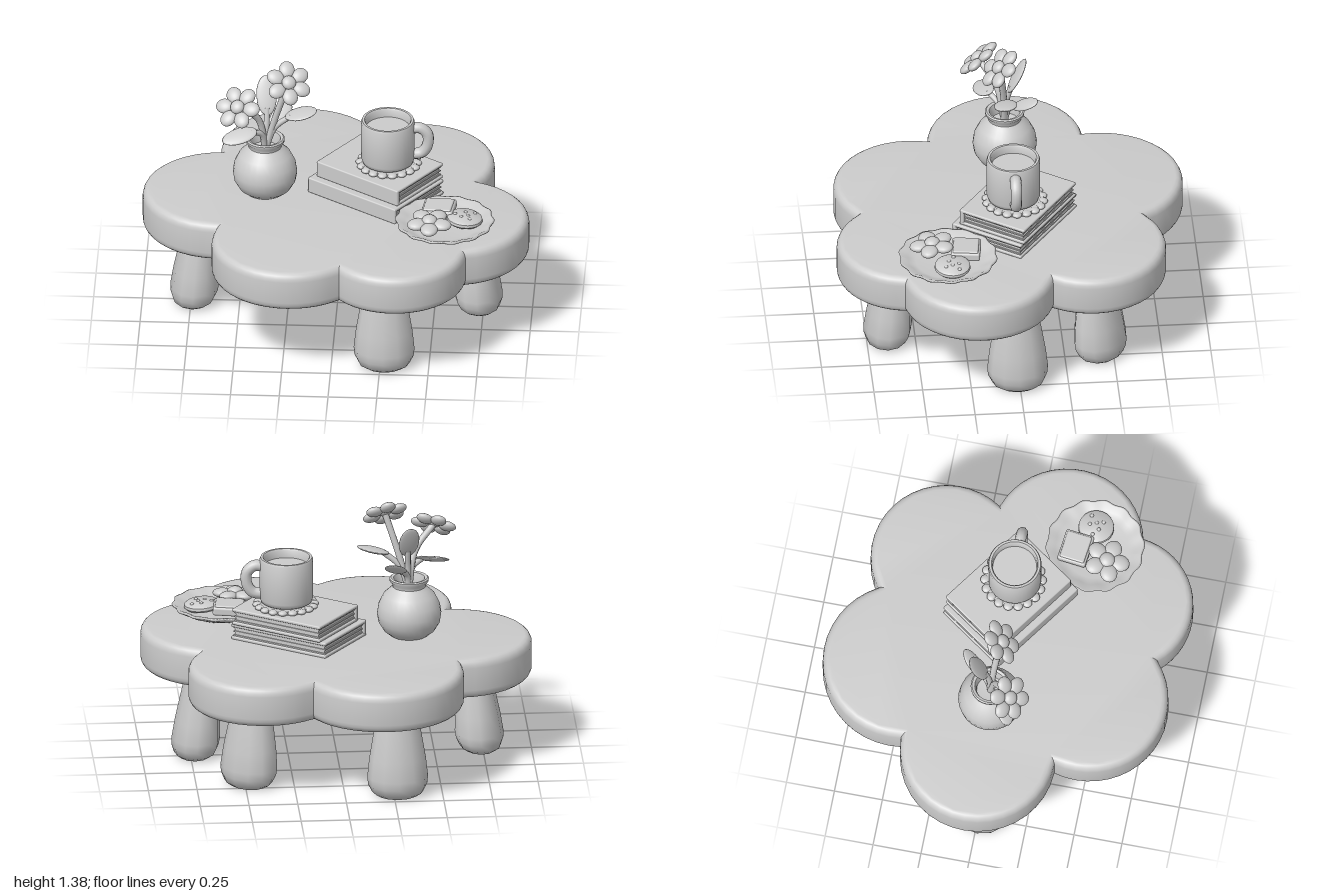
import * as THREE from 'three';
import { toCreasedNormals } from 'three/addons/utils/BufferGeometryUtils.js';
import { RoundedBoxGeometry } from 'three/addons/geometries/RoundedBoxGeometry.js';

const V = (x, y, z) => new THREE.Vector3(x, y, z);

export function createModel() {
  const model = new THREE.Group();
  const mat = new THREE.MeshStandardMaterial({ color: 0xcccccc });
  const thinMat = new THREE.MeshStandardMaterial({ color: 0xcccccc, side: THREE.DoubleSide });

  const group = (name, x = 0, y = 0, z = 0, parent = model) => {
    const g = new THREE.Group();
    g.name = name;
    g.position.set(x, y, z);
    parent.add(g);
    return g;
  };
  const add = (parent, name, geo, x = 0, y = 0, z = 0, material = mat) => {
    const m = new THREE.Mesh(geo, material);
    m.name = name;
    m.position.set(x, y, z);
    parent.add(m);
    return m;
  };
  const lathe = (pts, segs) =>
    toCreasedNormals(new THREE.LatheGeometry(pts.map(p => new THREE.Vector2(...p)), segs), 0.75);
  const tube = (pts, r, segs = 16) =>
    new THREE.TubeGeometry(new THREE.CatmullRomCurve3(pts), segs, r, 10);
  const blob = (rx, ry, rz) => new THREE.SphereGeometry(1, 18, 12).scale(rx, ry, rz);

  // Table top: outline of six overlapping circles (x, -z, radius)
  const lobes = [[0.6, -0.2, 0.393], [0.4, 0.39, 0.387], [-0.2, 0.49, 0.42],
    [-0.6, 0.03, 0.4], [-0.22, -0.48, 0.402], [0.32, -0.54, 0.367]];
  const notch = (a, b) => { // outer crossing of two neighbouring circles
    const dx = b[0] - a[0], dy = b[1] - a[1], d = Math.hypot(dx, dy);
    const t = (a[2] ** 2 - b[2] ** 2 + d * d) / (2 * d);
    const h = Math.sqrt(a[2] ** 2 - t * t);
    return [a[0] + (dx * t + dy * h) / d, a[1] + (dy * t - dx * h) / d];
  };
  const outline = [];
  lobes.forEach((c, i) => {
    const p = notch(lobes[(i + 5) % 6], c), q = notch(c, lobes[(i + 1) % 6]);
    const a0 = Math.atan2(p[1] - c[1], p[0] - c[0]);
    let a1 = Math.atan2(q[1] - c[1], q[0] - c[0]);
    if (a1 < a0) a1 += Math.PI * 2;
    for (let k = 0; k < 18; k++) {
      const a = a0 + (a1 - a0) * k / 18;
      outline.push(new THREE.Vector2(c[0] + c[2] * Math.cos(a), c[1] + c[2] * Math.sin(a)));
    }
  });
  const top = new THREE.ExtrudeGeometry(new THREE.Shape(outline), {
    depth: 0.12, bevelEnabled: true, bevelThickness: 0.045, bevelSize: 0.035,
    bevelOffset: -0.035, bevelSegments: 4,
  }).rotateX(-Math.PI / 2);
  add(model, 'tableTop', toCreasedNormals(top, 0.6), 0, 0.475, 0);

  // Five oval legs leaning slightly outwards: x, z, facing angle
  const legs = [[0.27, 0.65, Math.PI / 2], [0.73, 0.01, 0], [0.485, -0.44, -0.85],
    [-0.27, -0.645, -Math.PI / 2], [-0.74, 0.01, Math.PI]];
  for (const [x, z, angle] of legs) {
    const g = lathe([[0, 0], [0.1, 0], [0.132, 0.02], [0.152, 0.06], [0.156, 0.1], [0.145, 0.2],
      [0.123, 0.33], [0.1, 0.45]], 12).scale(0.8, 1, 1);
    const p = g.attributes.position;
    for (let i = 0; i < p.count; i++) p.setX(i, p.getX(i) - 0.08 * p.getY(i));
    add(model, 'leg', g, x, 0, z).rotation.y = -angle;
  }

  // Books: two covers, a spine along the front-left edge and an inset page block
  const book = (name, x, y, z, w, d, h, angle) => {
    const b = group(name, x, y, z);
    b.rotation.y = angle;
    for (const cy of [0.009, h - 0.009])
      add(b, 'cover', new RoundedBoxGeometry(w, 0.018, d, 2, 0.007), 0, cy, 0);
    add(b, 'spine', new RoundedBoxGeometry(w, h, 0.025, 2, 0.008), 0, h / 2, d / 2 - 0.0125);
    add(b, 'pages', new THREE.BoxGeometry(w - 0.03, h - 0.02, d - 0.03), 0, h / 2, 0);
    for (let i = 1; i < 4; i++)
      add(b, 'pageLayer', new THREE.BoxGeometry(w - 0.018, 0.007, d - 0.018), 0, h * i / 4, 0);
  };
  book('lowerBook', 0.195, 0.638, -0.015, 0.565, 0.41, 0.085, -0.61);
  book('upperBook', 0.215, 0.723, -0.03, 0.525, 0.385, 0.088, -0.61);

  // Doily with a beaded edge
  const doily = group('doily', 0.262, 0.81, -0.012);
  add(doily, 'disc', new THREE.CylinderGeometry(0.148, 0.148, 0.02, 40), 0, 0.01, 0);
  for (let i = 0; i < 18; i++) {
    const a = i / 18 * Math.PI * 2;
    add(doily, 'scallop', blob(0.025, 0.014, 0.025), 0.145 * Math.cos(a), 0.012, 0.145 * Math.sin(a));
  }

  // Mug, filled with a drink
  const mug = group('mug', 0.258, 0.828, -0.005);
  add(mug, 'cup', lathe([[0, 0], [0.115, 0], [0.13, 0.01], [0.137, 0.03], [0.137, 0.235], [0.132, 0.247],
    [0.12, 0.247], [0.114, 0.238], [0.112, 0.2], [0, 0.2]], 40));
  add(mug, 'handle', tube([V(0.12, 0.2, 0), V(0.165, 0.203, 0), V(0.202, 0.17, 0), V(0.204, 0.11, 0),
    V(0.175, 0.062, 0), V(0.12, 0.05, 0)], 0.029, 28));

  // Plate with a wavy rim
  const plate = group('plate', 0.567, 0.638, 0.355);
  const dish = new THREE.LatheGeometry([[0, 0], [0.14, 0], [0.165, 0.01], [0.21, 0.03], [0.246, 0.05],
    [0.25, 0.06], [0.24, 0.063], [0.205, 0.045], [0.165, 0.03], [0, 0.028]]
    .map(p => new THREE.Vector2(...p)), 96);
  const dp = dish.attributes.position;
  for (let i = 0; i < dp.count; i++) {
    const x = dp.getX(i), z = dp.getZ(i), r = Math.hypot(x, z);
    const s = 1 + 0.022 * Math.cos(14 * Math.atan2(z, x)) * THREE.MathUtils.smoothstep(r, 0.16, 0.24);
    dp.setXYZ(i, x * s, dp.getY(i), z * s);
  }
  dish.computeVertexNormals();
  add(plate, 'dish', dish);

  // Flower head lying in the xz plane, used for the biscuit and the blooms
  const flowerHead = (parent, name, n, ring, pr, thick, heart) => {
    const f = group(name, 0, 0, 0, parent);
    for (let i = 0; i < n; i++) {
      const a = i / n * Math.PI * 2 + 0.3;
      add(f, 'petal', blob(pr * 1.15, thick, pr), ring * Math.cos(a), 0, ring * Math.sin(a))
        .rotation.y = -a;
    }
    add(f, 'middle', blob(heart, thick * 1.1, heart), 0, thick * 0.5, 0);
    return f;
  };

  // Biscuits on the plate
  const flowerBiscuit = flowerHead(plate, 'flowerBiscuit', 5, 0.066, 0.045, 0.024, 0.04);
  flowerBiscuit.position.set(-0.075, 0.082, 0.075);
  flowerBiscuit.rotation.x = 0.1;
  const square = group('squareBiscuit', -0.035, 0.068, -0.095, plate);
  square.rotation.set(0, -0.12, 0.04);
  add(square, 'slice', new RoundedBoxGeometry(0.165, 0.045, 0.15, 3, 0.012));
  add(square, 'icing', new RoundedBoxGeometry(0.145, 0.02, 0.13, 2, 0.008), 0, 0.02, 0);
  const round = group('roundBiscuit', 0.1, 0.042, -0.015, plate);
  round.rotation.z = -0.08;
  add(round, 'biscuit', lathe([[0, 0], [0.08, 0], [0.092, 0.012], [0.09, 0.026], [0.078, 0.035],
    [0, 0.04]], 28));
  for (let i = 0; i < 6; i++) {
    const a = i * 2.4, r = 0.016 + 0.009 * i;
    add(round, 'chip', blob(0.01, 0.007, 0.01), r * Math.cos(a), 0.037, r * Math.sin(a));
  }

  // Round vase
  const vase = group('vase', -0.372, 0.638, -0.01);
  add(vase, 'body', lathe([[0, 0], [0.095, 0], [0.132, 0.03], [0.158, 0.075], [0.165, 0.12], [0.157, 0.17],
    [0.132, 0.22], [0.1, 0.25], [0.085, 0.265], [0.087, 0.28], [0.1, 0.295], [0.101, 0.308], [0.094, 0.314],
    [0.08, 0.31], [0.072, 0.28], [0.07, 0.25], [0, 0.24]], 28), 0, 0, 0, thinMat);

  // Blooms on curved stems
  const bouquet = group('bouquet');
  const bloom = (at, normal, mid) => {
    const head = flowerHead(bouquet, 'flower', 6, 0.073, 0.04, 0.023, 0.037);
    head.position.copy(at);
    head.quaternion.setFromUnitVectors(V(0, 1, 0), normal.normalize());
    add(bouquet, 'stem', tube([V(-0.37, 0.88, -0.01), mid, at], 0.017));
  };
  bloom(V(-0.505, 1.19, 0.115), V(-0.25, 0.72, 0.6), V(-0.405, 1.08, 0.03));
  bloom(V(-0.25, 1.29, 0.025), V(0.18, 0.72, 0.65), V(-0.32, 1.07, 0));

  // Leaves: flattened blade from base to tip, on a thin stalk
  const leaf = (base, tip, width, up) => {
    const dir = tip.clone().sub(base), len = dir.length();
    dir.normalize();
    const side = up.clone().cross(dir).normalize();
    const normal = dir.clone().cross(side);
    const mid = base.clone().lerp(tip, 0.5);
    const blade = add(bouquet, 'leaf', blob(width / 2, 0.013, len / 2), mid.x, mid.y, mid.z);
    blade.quaternion.setFromRotationMatrix(new THREE.Matrix4().makeBasis(side, normal, dir));
    const bend = V(-0.37, 0.9, -0.01).lerp(base, 0.5);
    bend.y += 0.025;
    add(bouquet, 'stalk', tube([V(-0.37, 0.88, -0.01), bend, base.clone().lerp(tip, 0.2)], 0.015));
  };
  leaf(V(-0.41, 1.03, 0.06), V(-0.585, 0.99, 0.12), 0.1, V(-0.3, 0.8, 0.5));
  leaf(V(-0.36, 1.07, -0.025), V(-0.375, 1.255, -0.12), 0.105, V(0.1, 0.3, 0.9));
  leaf(V(-0.27, 1.08, 0), V(-0.105, 1.12, 0), 0.12, V(-0.1, 1, 0.1));
  leaf(V(-0.345, 0.99, -0.05), V(-0.25, 1.07, -0.17), 0.085, V(0.1, 0.8, 0.5));

  return model;
}
